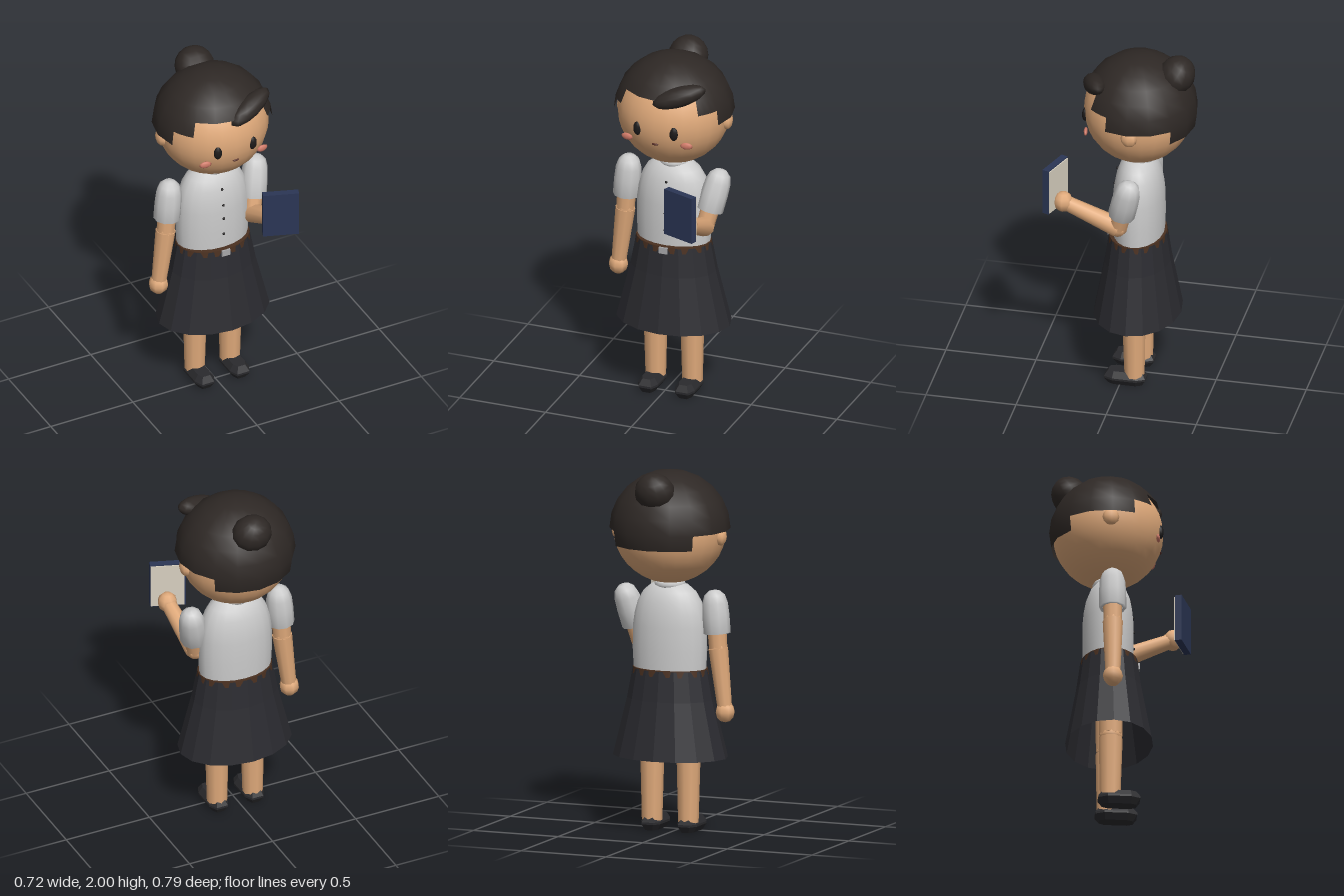
import * as THREE from 'three';

const mat = (color, extra = {}) => new THREE.MeshStandardMaterial({ color, ...extra });
const V = (x, y, z) => new THREE.Vector3(x, y, z);

export function createModel() {
  const root = new THREE.Group();
  root.name = 'girlWithBook';
  const skin = mat(0xdfa97a), hair = mat(0x2e2825), white = mat(0xededea, { side: THREE.DoubleSide });
  const hairShell = mat(0x2e2825, { side: THREE.DoubleSide });
  const dark = mat(0x1c1a1a), blush = mat(0xd07a68), shoe = mat(0x2a2a2d, { flatShading: true });
  const CX = 0.022, CZ = -0.078; // body axis

  const add = (name, geo, material, pos = V(0, 0, 0), parent = root) => {
    const m = new THREE.Mesh(geo, material);
    m.name = name;
    m.position.copy(pos);
    parent.add(m);
    return m;
  };
  const ball = (name, material, pos, rx, ry = rx, rz = rx, w = 8, h = 6, parent = root) =>
    add(name, new THREE.SphereGeometry(1, w, h).scale(rx, ry, rz), material, pos, parent);
  // Tapered limb between two points
  const limb = (name, material, a, b, ra, rb) => {
    const d = b.clone().sub(a);
    const m = add(name, new THREE.CylinderGeometry(rb, ra, d.length(), 10), material, a.clone().lerp(b, 0.5));
    m.quaternion.setFromUnitVectors(V(0, 1, 0), d.normalize());
    return m;
  };
  const lathe = (pts, n) => new THREE.LatheGeometry(pts.map(p => new THREE.Vector2(...p)), n);

  // Head and face
  const headAt = V(CX, 1.665, CZ);
  ball('head', skin, headAt, 0.31, 0.3, 0.3, 24, 18);
  for (const s of [-1, 1]) {
    const side = s > 0 ? 'left' : 'right';
    ball(side + 'Ear', skin, V(CX + s * 0.305, 1.635, -0.087), 0.03, 0.047, 0.046);
    ball(side + 'Eye', dark, V(CX + s * 0.105, 1.645, 0.198), 0.025, 0.04, 0.018, 10, 8);
    ball(side + 'Cheek', blush, V(CX + s * 0.173, 1.577, 0.181), 0.035, 0.02, 0.011).rotation.y = s * 0.15;
  }
  ball('mouth', mat(0x5a3028), V(CX, 1.57, 0.205), 0.02, 0.007, 0.008);

  // Hair cap: stepped hairline, each strip a span of a 16-column, 12-row dome
  const hairCap = new THREE.Group();
  hairCap.name = 'hairCap';
  root.add(hairCap);
  const step = Math.PI / 8, row = Math.PI / 12;
  const strips = [[2, 4, 4], [1, 1, 5], [6, 1, 5], [7, 3, 6], [14, 3, 6], [10, 4, 7]]; // first column, columns, rows
  for (const [c, n, rows] of strips) {
    const g = new THREE.SphereGeometry(1, n, rows, c * step, n * step, 0, rows * row);
    add('hairStrip', g.scale(0.33, 0.32, 0.32), hairShell, headAt, hairCap);
  }
  const bun = ball('hairBun', hair, V(CX, 1.89, -0.285), 0.112, 0.11, 0.1, 12, 9);
  bun.rotation.x = -0.5;
  const fringe = ball('fringeSwoop', hair, V(0.138, 1.846, 0.145), 0.152, 0.055, 0.06, 12, 8);
  fringe.rotation.set(0, 0.35, 0.32);

  // Neck, blouse and collar
  add('neck', new THREE.CylinderGeometry(0.06, 0.065, 0.14, 12), skin, V(CX, 1.35, CZ));
  const torso = lathe([[0.205, 0.87], [0.212, 1], [0.21, 1.13], [0.2, 1.2], [0.182, 1.265], [0.15, 1.32], [0.105, 1.357], [0.05, 1.37]], 20);
  add('blouse', torso.scale(1, 1, 0.66), white, V(CX, 0, CZ));
  const collar = new THREE.TorusGeometry(0.068, 0.018, 6, 16).rotateX(Math.PI / 2);
  add('collar', collar, white, V(CX, 1.36, CZ));
  [[0.99, 0.062], [1.09, 0.062], [1.175, 0.058], [1.27, 0.042]].forEach(([y, z]) =>
    ball('button', dark, V(CX, y, z), 0.008, 0.008, 0.008, 6, 4));

  // Skirt, belt and buckle
  const skirt = lathe([[0.325, 0.413], [0.245, 0.73], [0.214, 0.895]], 16).scale(1, 1, 0.735);
  add('skirt', skirt, mat(0x2b2b30, { flatShading: true, side: THREE.DoubleSide }), V(CX, 0, -0.072));
  const belt = new THREE.CylinderGeometry(0.212, 0.217, 0.035, 24).scale(1, 1, 0.735);
  add('belt', belt, mat(0x4a3020), V(CX, 0.882, -0.072));
  add('buckle', new THREE.BoxGeometry(0.05, 0.036, 0.02), mat(0xa8a8aa), V(CX, 0.88, 0.083));

  // Legs and shoes
  const sole = new THREE.Shape([
    [-0.022, -0.092], [0.022, -0.092], [0.036, -0.06], [0.036, 0.06],
    [0.02, 0.092], [-0.02, 0.092], [-0.036, 0.06], [-0.036, -0.06],
  ].map(p => new THREE.Vector2(...p)));
  const shoeGeo = new THREE.ExtrudeGeometry(sole, {
    depth: 0.012, bevelEnabled: true, bevelThickness: 0.034, bevelSize: 0.022, bevelSegments: 1,
  }).rotateX(-Math.PI / 2);
  for (const s of [-1, 1]) {
    const side = s > 0 ? 'left' : 'right', x = CX + s * 0.107;
    limb(side + 'Thigh', skin, V(x, 0.42, -0.072), V(x, 0.85, -0.072), 0.063, 0.072);
    ball(side + 'Knee', skin, V(x, 0.41, -0.072), 0.065, 0.05, 0.065, 10, 8);
    limb(side + 'Shin', skin, V(x, 0.05, -0.075), V(x, 0.4, -0.072), 0.056, 0.065);
    add(side + 'Shoe', shoeGeo, shoe, V(x, 0.034, -0.027));
  }

  // Arms: puffed sleeve, elbow, forearm and hand
  const sleeveGeo = lathe([[0.055, -0.165], [0.074, -0.165], [0.074, -0.07], [0.07, 0], [0.056, 0.045], [0.03, 0.068], [0, 0.073]], 10);
  const arm = (side, shoulder, elbow, hand) => {
    const sleeve = add(side + 'Sleeve', sleeveGeo, white, shoulder);
    sleeve.quaternion.setFromUnitVectors(V(0, 1, 0), shoulder.clone().sub(elbow).normalize());
    limb(side + 'UpperArm', skin, elbow, shoulder, 0.05, 0.055);
    ball(side + 'Elbow', skin, elbow, 0.053);
    limb(side + 'Forearm', skin, elbow, hand, 0.055, 0.04);
    return ball(side + 'Hand', skin, hand, 0.055, 0.058, 0.055);
  };
  arm('right', V(-0.243, 1.268, -0.075), V(-0.262, 1.02, -0.075), V(-0.304, 0.675, -0.078));
  arm('left', V(0.28, 1.27, -0.07), V(0.228, 1.02, -0.005), V(0.25, 1.157, 0.293));

  // Book held in the left hand, pages toward the body
  const book = new THREE.Group();
  book.name = 'book';
  book.position.set(0.224, 1.24, 0.343);
  book.rotation.y = -0.34;
  root.add(book);
  add('bookCover', new THREE.BoxGeometry(0.197, 0.268, 0.038), mat(0x2b3655), V(0, 0, 0.002), book);
  add('bookPages', new THREE.BoxGeometry(0.185, 0.256, 0.01), mat(0xd8d0c0), V(0.002, 0, -0.018), book);

  return root;
}
